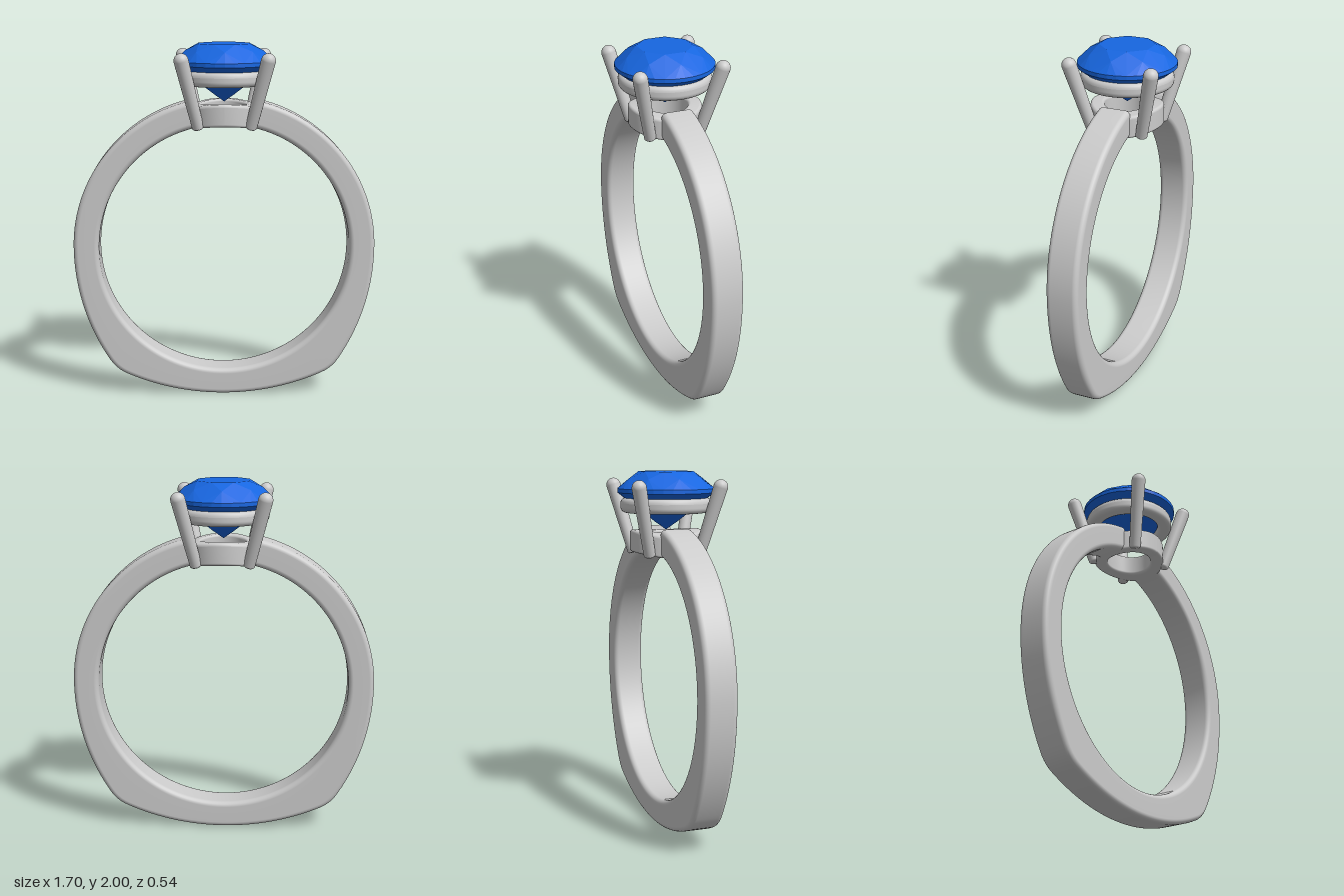
import * as THREE from 'three';
import { ConvexGeometry } from 'three/addons/geometries/ConvexGeometry.js';

const metal = new THREE.MeshStandardMaterial({ color: 0xcccccc });
const blue = new THREE.MeshStandardMaterial({ color: 0x1766e0, flatShading: true });
const CY = 0.855, INNER = 0.705;

function part(name, geometry, material = metal) {
  const mesh = new THREE.Mesh(geometry, material);
  mesh.name = name;
  return mesh;
}

// Rounded rectangle as a loop of points, counter-clockwise
function roundedLoop(x0, x1, y0, y1, r, n = 5) {
  const pts = [];
  [[x1 - r, y1 - r], [x0 + r, y1 - r], [x0 + r, y0 + r], [x1 - r, y0 + r]].forEach(([cx, cy], q) => {
    for (let i = 0; i <= n; i++) {
      const a = (q + i / n) * Math.PI / 2;
      pts.push(new THREE.Vector2(cx + r * Math.cos(a), cy + r * Math.sin(a)));
    }
  });
  return pts;
}

// Outer edge of the band: round above, two flatter sides and a shallow base arc below
function outerRadius(a) {
  const hit = (dx, dy, r) => {
    const p = dx * Math.cos(a) + dy * Math.sin(a);
    return p + Math.sqrt(r * r - dx * dx - dy * dy + p * p);
  };
  const side = hit(Math.cos(a) > 0 ? -0.352 : 0.352, 0, 1.2);
  const base = hit(0, 0.505, 1.36);
  if (Math.sin(a) > 0) return 0.848 + 0.007 * Math.sin(a);
  const k = 0.03, h = Math.max(k - Math.abs(side - base), 0) / k;
  return Math.min(side, base) - h * h * k / 4;
}

// Band: rounded section swept round the finger, open at the top for the collar
function bandGeometry() {
  const N = 200, gap = 0.205, sections = [];
  for (let i = 0; i <= N; i++) {
    const a = Math.PI / 2 + gap + (i / N) * (2 * Math.PI - 2 * gap);
    sections.push(roundedLoop(INNER, outerRadius(a), -0.09, 0.09, 0.028).map(p =>
      new THREE.Vector3(p.x * Math.cos(a), CY + p.x * Math.sin(a), p.y)));
  }
  // Flat end caps
  const middle = s => {
    const c = s.reduce((t, p) => t.add(p), new THREE.Vector3()).divideScalar(s.length);
    return s.map(() => c);
  };
  const first = sections[0], last = sections[N];
  sections.unshift(middle(first), first);
  sections.push(last, middle(last));

  const M = first.length, index = [];
  for (let i = 0; i < sections.length - 1; i++) {
    for (let j = 0; j < M; j++) {
      const a = i * M + j, b = i * M + (j + 1) % M;
      index.push(a, a + M, b, b, a + M, b + M);
    }
  }
  const g = new THREE.BufferGeometry().setFromPoints(sections.flat());
  g.setIndex(index);
  // Turn the faces outward if the sweep ran the other way
  const [p, q, r] = [0, 1, 2].map(k => sections.flat()[index[2 * M * 6 + k]]);
  const n = q.clone().sub(p).cross(r.clone().sub(p));
  const out = p.clone().sub(sections[0][0]);
  if (n.dot(out) < 0) g.setIndex(index.reverse());
  g.computeVertexNormals();
  return g;
}

// Solid ring with a rounded section
function ringGeometry(r0, r1, y0, y1, r) {
  const loop = roundedLoop(r0, r1, y0, y1, r);
  loop.push(loop[0].clone());
  return new THREE.LatheGeometry(loop, 64);
}

// Collar under the setting, bent to follow the finger hole
function collarGeometry() {
  const g = ringGeometry(0.125, 0.2, 1.56, 1.682, 0.015);
  const pos = g.attributes.position;
  for (let i = 0; i < pos.count; i++) {
    const x = pos.getX(i);
    pos.setY(i, pos.getY(i) + Math.sqrt(INNER * INNER - x * x) - INNER);
  }
  g.computeVertexNormals();
  return g;
}

// Slightly tapered claw with a domed tip
function prong(sx, sz) {
  const from = new THREE.Vector3(0.143 * sx, 1.545, 0.143 * sz);
  const to = new THREE.Vector3(0.232 * sx, 1.92, 0.232 * sz);
  const dir = to.clone().sub(from), len = dir.length();
  const profile = [[0, 0], [0.024, 0], [0.032, 0.008]].map(p => new THREE.Vector2(...p));
  for (let i = 0; i <= 8; i++) {
    const a = i / 8 * Math.PI / 2;
    profile.push(new THREE.Vector2(0.04 * Math.cos(a), len + 0.04 * Math.sin(a)));
  }
  const mesh = part('prong', new THREE.LatheGeometry(profile, 24));
  mesh.position.copy(from);
  mesh.quaternion.setFromUnitVectors(new THREE.Vector3(0, 1, 0), dir.normalize());
  return mesh;
}

// Round brilliant cut: table, crown, girdle, pavilion and point
function gemGeometry() {
  const pts = [new THREE.Vector3(0, 1.68, 0)];
  const circle = (n, r, y, turn) => {
    for (let i = 0; i < n; i++) {
      const a = (i + turn) / n * 2 * Math.PI;
      pts.push(new THREE.Vector3(r * Math.cos(a), y, r * Math.sin(a)));
    }
  };
  circle(8, 0.152, 2.0, 0.5);
  circle(8, 0.215, 1.962, 0);
  circle(32, 0.27, 1.907, 0);
  circle(32, 0.27, 1.885, 0);
  circle(8, 0.06, 1.722, 0.5);
  return new ConvexGeometry(pts);
}

export function createModel() {
  const model = new THREE.Group();
  model.name = 'ring';

  model.add(part('band', bandGeometry()));

  const setting = new THREE.Group();
  setting.name = 'setting';
  setting.add(part('collar', collarGeometry()));
  setting.add(part('gallery', ringGeometry(0.17, 0.252, 1.775, 1.857, 0.03)));
  for (const sx of [-1, 1]) for (const sz of [-1, 1]) setting.add(prong(sx, sz));
  model.add(setting);

  model.add(part('gem', gemGeometry(), blue));
  return model;
}
